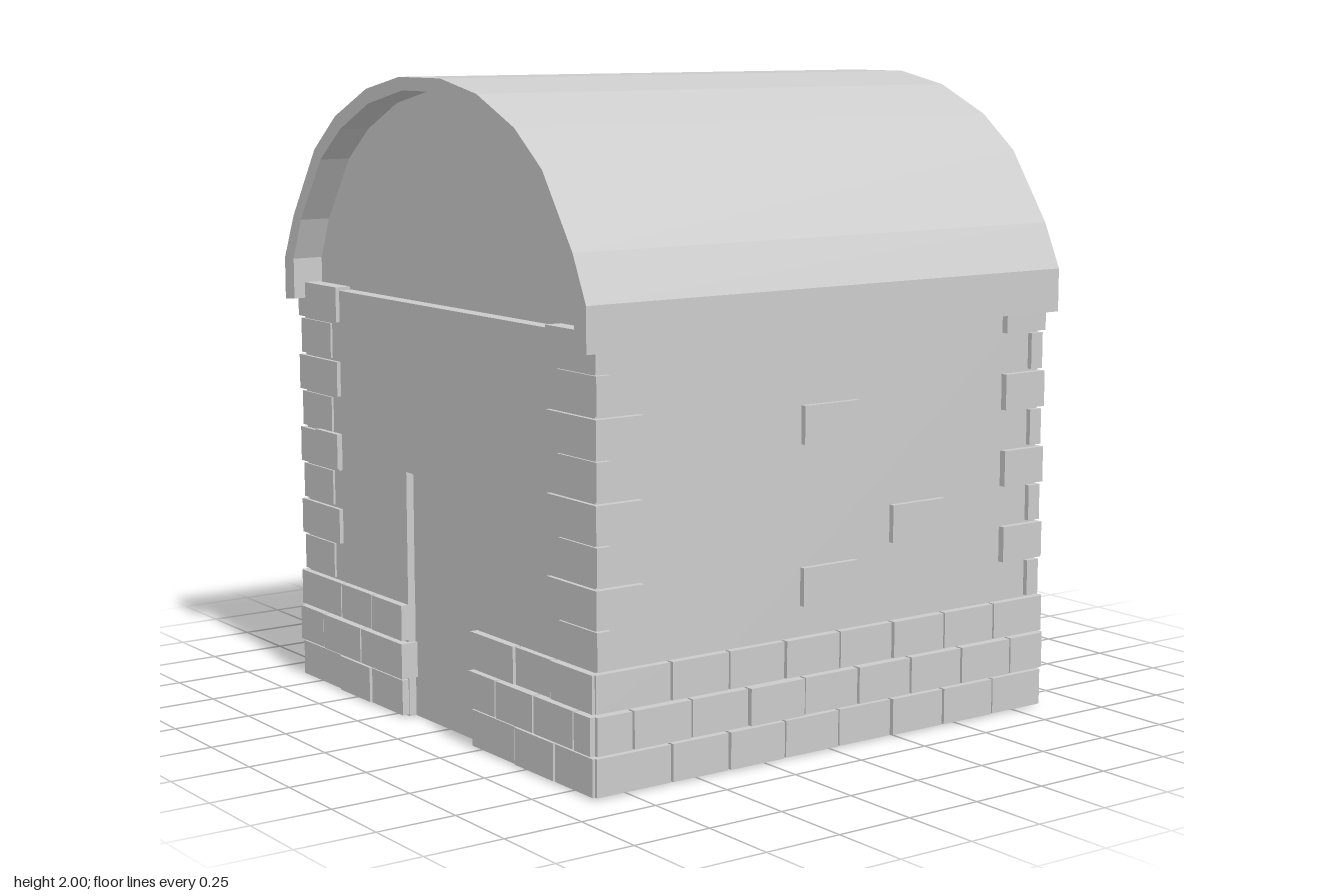
import * as THREE from 'three';

const material = new THREE.MeshStandardMaterial({ color: 0xcccccc, flatShading: true });
const WALL = 0.84;   // half width of the plain walls
const GAP = 0.008;   // joint between stones
const ROW = 0.1205;  // height of a course of stone

// small seeded generator for slight unevenness
let seed = 7;
const rand = () => (seed = (seed * 16807) % 2147483647) / 2147483647;

function add(parent, name, geometry) {
  const mesh = new THREE.Mesh(geometry, material);
  mesh.name = name;
  parent.add(mesh);
  return mesh;
}

// box given by its minimum and maximum on each axis
function block(parent, name, x0, x1, y0, y1, z0, z1) {
  const mesh = add(parent, name, new THREE.BoxGeometry(x1 - x0, y1 - y0, z1 - z0));
  mesh.position.set((x0 + x1) / 2, (y0 + y1) / 2, (z0 + z1) / 2);
  return mesh;
}

// stone on one wall: a0..a1 runs along the wall, out is how far its face stands from the centre
function wallStone(parent, name, side, a0, a1, y0, y1, out) {
  const inner = 0.8;
  if (side === 'front') return block(parent, name, a0, a1, y0, y1, inner, out);
  if (side === 'back') return block(parent, name, a0, a1, y0, y1, -out, -inner);
  if (side === 'left') return block(parent, name, inner, out, y0, y1, a0, a1);
  return block(parent, name, -out, -inner, y0, y1, a0, a1);
}

function extrude(points, depth) {
  const shape = new THREE.Shape(points.map(([x, y]) => new THREE.Vector2(x, y)));
  return new THREE.ExtrudeGeometry(shape, { depth, bevelEnabled: false });
}

const mirrored = (half) => [...half, ...half.map(([x, y]) => [-x, y]).reverse()];

function buildWalls(group) {
  block(group, 'wallCore', -WALL, WALL, 0, 1.31, -WALL, 0.815);
  // front wall skin with the doorway cut out of it
  const front = extrude([
    [-WALL, 0], [-0.2, 0], [-0.2, 0.78], [0.21, 0.78], [0.21, 0], [WALL, 0], [WALL, 1.31], [-WALL, 1.31],
  ], WALL - 0.815);
  add(group, 'frontWall', front).position.z = 0.815;
}

function buildRoof(group) {
  const outer = mirrored([[0.875, 1.265], [0.875, 1.4], [0.81, 1.54], [0.66, 1.76], [0.52, 1.87], [0.32, 1.96], [0.12, 2]]);
  const inner = mirrored([[0.815, 1.27], [0.815, 1.4], [0.76, 1.53], [0.62, 1.73], [0.49, 1.83], [0.31, 1.915], [0.1, 1.96]]);
  add(group, 'barrelRoof', extrude([...outer, ...inner.slice().reverse()], 1.785)).position.z = -0.8925;
  // gable ends set back under the roof
  add(group, 'gables', extrude(inner, 1.58)).position.z = -0.79;
}

function buildBase(group) {
  const base = new THREE.Group();
  base.name = 'baseStones';
  group.add(base);

  const course = (side, joints, row) => {
    const y0 = 0.005 + row * ROW;
    for (let i = 0; i + 1 < joints.length; i++) {
      const out = 0.86 + rand() * 0.008 + (row === 1 ? 0.006 : 0);
      wallStone(base, 'baseStone', side, joints[i] + GAP / 2, joints[i + 1] - GAP / 2, y0, y0 + ROW - GAP, out);
    }
  };
  // courses either side of the doorway
  const frontJoints = [
    [[-0.86, -0.6, -0.4, -0.2], [0.205, 0.45, 0.66, 0.86]],
    [[-0.86, -0.7, -0.45, -0.185], [0.2, 0.355, 0.56, 0.77, 0.86]],
    [[-0.86, -0.59, -0.39, -0.195], [0.205, 0.45, 0.64, 0.86]],
  ];
  frontJoints.forEach((runs, row) => runs.forEach((joints) => course('front', joints, row)));

  // running bond on the other walls
  for (let row = 0; row < 3; row++) {
    for (const side of ['left', 'right', 'back']) {
      const joints = [-0.86];
      for (let a = row === 1 ? -0.72 : -0.65; a < 0.8; a += 0.2075) joints.push(a);
      joints.push(0.86);
      course(side, joints, row);
    }
  }
}

function buildQuoins(group) {
  const quoins = new THREE.Group();
  quoins.name = 'cornerStones';
  group.add(quoins);

  for (const sx of [-1, 1]) {
    for (const sz of [-1, 1]) {
      for (let row = 0; row < 8; row++) {
        const long = row % 2 === 1;
        const y0 = 0.365 + row * ROW;
        const y1 = Math.min(y0 + ROW - GAP, 1.33);
        const grow = long ? 0.006 : 0;
        // each stone wraps its corner: a narrow return on the side, a wide face on the end
        const xOut = 0.856 + grow;
        const zOut = 0.847 + grow;
        const xIn = long ? 0.61 : 0.66;
        const zIn = long ? 0.69 : 0.8;
        const xs = [sx * xIn, sx * xOut].sort((a, b) => a - b);
        const zs = [sz * zIn, sz * zOut].sort((a, b) => a - b);
        const face = [sz * 0.8, sz * zOut].sort((a, b) => a - b);
        const flank = [sx * 0.82, sx * xOut].sort((a, b) => a - b);
        block(quoins, 'cornerStone', ...xs, y0, y1, ...face);
        if (long) block(quoins, 'cornerStoneReturn', ...flank, y0, Math.min(y1, 1.3), ...zs);
      }
    }
  }
}

function buildLooseStones(group) {
  // single stones showing through the plaster: wall, centre along it, height of centre
  const stones = [
    ['left', 0.005, 0.995], ['left', -0.34, 0.66], ['left', 0.005, 0.51],
    ['right', 0.31, 0.995], ['right', -0.03, 0.51], ['right', -0.55, 1.14], ['right', 0.5, 0.82],
    ['back', 0.46, 0.72], ['back', -0.38, 0.89],
  ];
  for (const [side, a, y] of stones) {
    wallStone(group, 'wallStone', side, a - 0.103, a + 0.103, y - 0.058, y + 0.058, 0.858);
  }
  wallStone(group, 'wallStone', 'front', -0.755, -0.608, 0.732, 0.845, 0.858);
}

export function createModel() {
  const group = new THREE.Group();
  group.name = 'stoneHut';
  buildWalls(group);
  buildRoof(group);
  buildBase(group);
  buildQuoins(group);
  buildLooseStones(group);
  return group;
}
